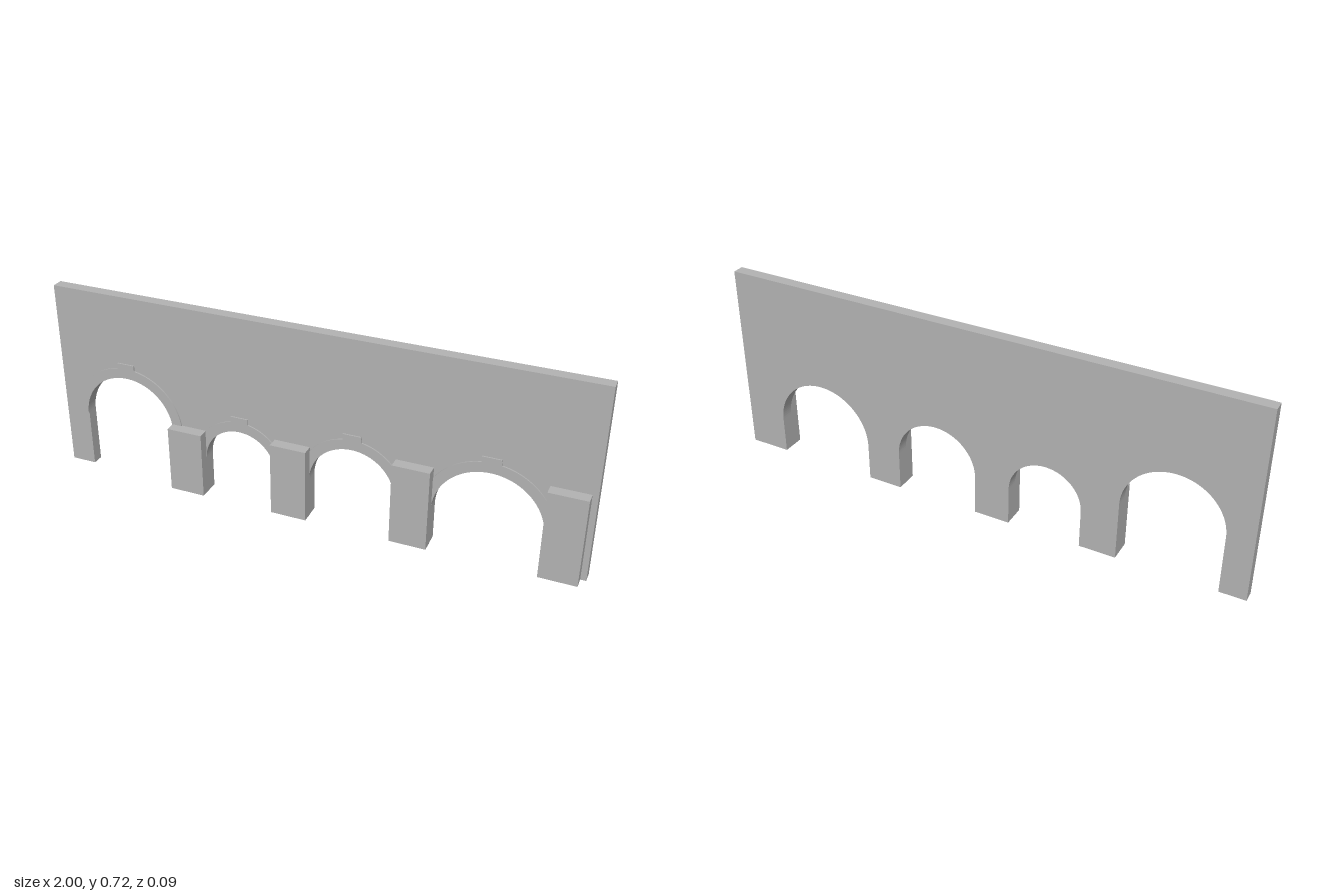
import * as THREE from 'three';

const DEPTH = 0.043, RING = 0.038, RING_DEPTH = 0.005, KEY_HALF = 0.034, KEY_RISE = 0.019;

// Round-headed openings: left edge, right edge, crown height
const openings = [
  [-0.905, -0.54, 0.404],
  [-0.405, -0.13, 0.282],
  [0.004, 0.321, 0.309],
  [0.455, 0.845, 0.336],
].map(([x0, x1, top]) => {
  const r = (x1 - x0) / 2;
  return { x0, x1, r, cx: (x0 + x1) / 2, spring: top - r };
});

// Piers: left edge, height
const piers = [[-0.54, 0.254], [-0.13, 0.281], [0.321, 0.308], [0.845, 0.334]];
const PIER_WIDTH = 0.135;

const extrude = (shape, depth) =>
  new THREE.ExtrudeGeometry(shape, { depth, bevelEnabled: false, curveSegments: 32 });

export function createModel() {
  const group = new THREE.Group();
  const stone = new THREE.MeshStandardMaterial({ color: 0xb3b3b3 });
  stone.name = 'grey stone';
  const add = (name, geometry) => {
    const mesh = new THREE.Mesh(geometry, stone);
    mesh.name = name;
    group.add(mesh);
    return mesh;
  };

  // Wall outline runs along the ground and up over each opening
  const wall = new THREE.Shape();
  wall.moveTo(-1, 0);
  for (const o of openings) {
    wall.lineTo(o.x0, 0);
    wall.lineTo(o.x0, o.spring);
    wall.absarc(o.cx, o.spring, o.r, Math.PI, 0, true);
    wall.lineTo(o.x1, 0);
  }
  wall.lineTo(1, 0);
  wall.lineTo(1, 0.724);
  wall.lineTo(-1, 0.724);
  wall.closePath();
  add('wall', extrude(wall, DEPTH)).position.z = -DEPTH;

  // Thin raised arch rings, each stepping up at its keystone
  openings.forEach((o, i) => {
    const R = o.r + RING, a = Math.acos(KEY_HALF / R), keyTop = o.spring + R + KEY_RISE;
    const ring = new THREE.Shape();
    ring.moveTo(o.x1, o.spring);
    ring.lineTo(o.cx + R, o.spring);
    ring.absarc(o.cx, o.spring, R, 0, a, false);
    ring.lineTo(o.cx + KEY_HALF, keyTop);
    ring.lineTo(o.cx - KEY_HALF, keyTop);
    ring.absarc(o.cx, o.spring, R, Math.PI - a, Math.PI, false);
    ring.lineTo(o.x0, o.spring);
    ring.absarc(o.cx, o.spring, o.r, Math.PI, 0, true);
    add(`archRing${i + 1}`, extrude(ring, RING_DEPTH));
  });

  // Projecting piers
  piers.forEach(([x, h], i) => {
    add(`pier${i + 1}`, new THREE.BoxGeometry(PIER_WIDTH, h, DEPTH))
      .position.set(x + PIER_WIDTH / 2, h / 2, DEPTH / 2);
  });

  return group;
}
